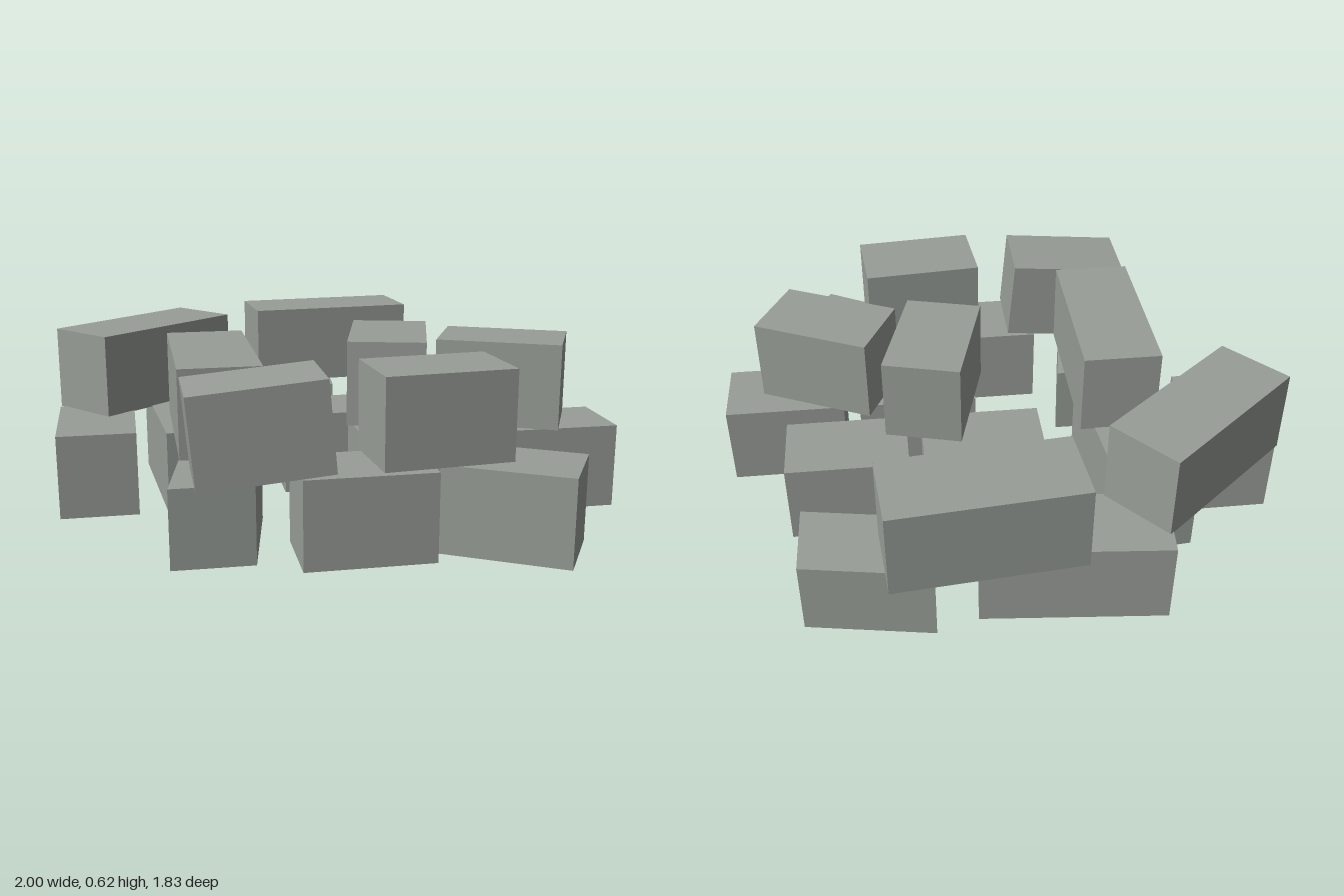
import * as THREE from 'three';

const HEIGHT = 0.305, DEPTH = 0.28, SHORT = 0.44, LONG = 0.645;

// Box without its underside
function openBox(width, height, depth) {
  const geometry = new THREE.BoxGeometry(width, height, depth);
  const index = Array.from(geometry.index.array);
  index.splice(18, 6);
  geometry.setIndex(index);
  geometry.clearGroups();
  return geometry;
}

export function createModel() {
  const model = new THREE.Group();
  model.name = 'brickRubble';
  const stone = new THREE.MeshStandardMaterial({ color: 0x989d97, side: THREE.DoubleSide });
  stone.name = 'greyStone';

  // One upright brick, placed by its centre and turned about y
  function brick(name, length, x, bottom, z, turn = 0, tilt = 0) {
    const mesh = new THREE.Mesh(openBox(length, HEIGHT, DEPTH), stone);
    mesh.name = name;
    mesh.position.set(x, bottom + HEIGHT / 2, z);
    mesh.rotation.set(0, turn, tilt);
    model.add(mesh);
  }

  // One skewed brick: its plan is a parallelogram with sides a and b, given as [x, z]
  function skewedBrick(name, x, z, a, b, height) {
    const geometry = openBox(1, 1, 1);
    geometry.applyMatrix4(new THREE.Matrix4().makeBasis(
      new THREE.Vector3(a[0], 0, a[1]),
      new THREE.Vector3(0, height, 0),
      new THREE.Vector3(b[0], 0, b[1])
    ));
    const mesh = new THREE.Mesh(geometry, stone);
    mesh.name = name;
    mesh.position.set(x, height / 2, z);
    model.add(mesh);
  }

  // Lower course: [length, x, z, turn]
  const lower = [
    [SHORT, -0.86, -0.09, Math.PI / 2],
    [LONG, -0.503, -0.177, -1.484],
    [LONG, -0.20, -0.657, -0.087],
    [SHORT, 0.055, -0.155, 0],
    [SHORT, 0.55, -0.155, 0],
    [SHORT, 0.28, 0.21, 0],
    [SHORT, 0.78, 0.21, 0],
    [SHORT, -0.007, 0.631, 0],
    [SHORT, 0.4925, 0.681, -0.524],
  ];
  lower.forEach(([l, x, z, t], i) => brick(`lowerBrick${i + 1}`, l, x, 0, z, t));
  skewedBrick('skewedBrickBack', 0.495, -0.64, [0.44, 0.077], [-0.005, 0.275], 0.272);
  skewedBrick('skewedBrickFront', -0.463, 0.463, [0.275, 0.003], [-0.075, 0.435], 0.272);

  // Upper course: [length, x, bottom, z, turn]
  const upper = [
    [LONG, 0.117, 0.305, -0.746, 0.087],
    [LONG, -0.66, 0.302, -0.433, 0.70],
    [LONG, -0.448, 0.303, 0.163, Math.PI / 2],
    [SHORT, 0.234, 0.32, 0.631, 0.087],
    [SHORT, 0.215, 0.32, 0.044, 1.31],
    [SHORT, 0.602, 0.32, 0.205, -0.44],
  ];
  upper.forEach(([l, x, y, z, t], i) => brick(`upperBrick${i + 1}`, l, x, y, z, t));

  // Brick rocking on the front edge
  brick('tiltedBrick', SHORT, -0.35, 0.299, 0.632, 0, 0.087);

  return model;
}
